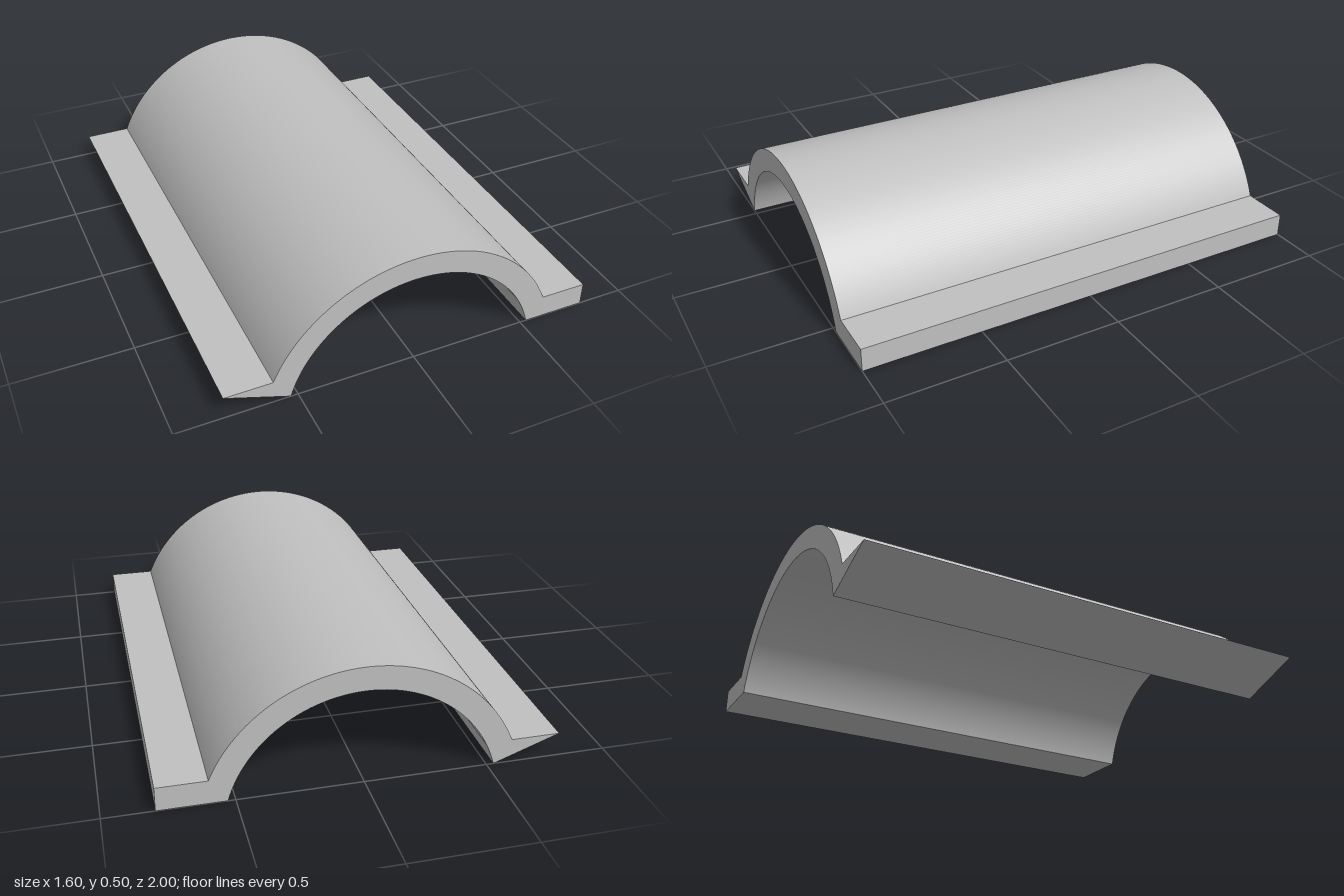
import * as THREE from 'three';
import { toCreasedNormals } from 'three/addons/utils/BufferGeometryUtils.js';

const LENGTH = 2, HALF_WIDTH = 0.8, FLANGE = 0.1; // flange thickness
const CENTER_Y = -0.15, OUTER_R = 0.65, INNER_R = 0.55; // concentric arcs

export function createModel() {
  const group = new THREE.Group();
  group.name = 'archedCover';

  const grey = new THREE.MeshStandardMaterial({ color: 0xc0c0c0 });
  grey.name = 'light grey';

  // Angles at which the arcs meet the floor and the top of the flanges
  const innerA = Math.asin(-CENTER_Y / INNER_R);
  const outerA = Math.asin((FLANGE - CENTER_Y) / OUTER_R);

  // Cross-section: flat flange, arch, flat flange
  const profile = new THREE.Shape();
  profile.moveTo(-HALF_WIDTH, 0);
  profile.absarc(0, CENTER_Y, INNER_R, Math.PI - innerA, innerA, true);
  profile.lineTo(HALF_WIDTH, 0);
  profile.lineTo(HALF_WIDTH, FLANGE);
  profile.absarc(0, CENTER_Y, OUTER_R, outerA, Math.PI - outerA, false);
  profile.lineTo(-HALF_WIDTH, FLANGE);
  profile.closePath();

  const extruded = new THREE.ExtrudeGeometry(profile, {
    depth: LENGTH, bevelEnabled: false, curveSegments: 64,
  });
  extruded.translate(0, 0, -LENGTH / 2);

  // Smooth along the arch, sharp at the flanges and ends
  const channel = new THREE.Mesh(toCreasedNormals(extruded, 0.5), grey);
  channel.name = 'archWithFlanges';
  group.add(channel);
  return group;
}
